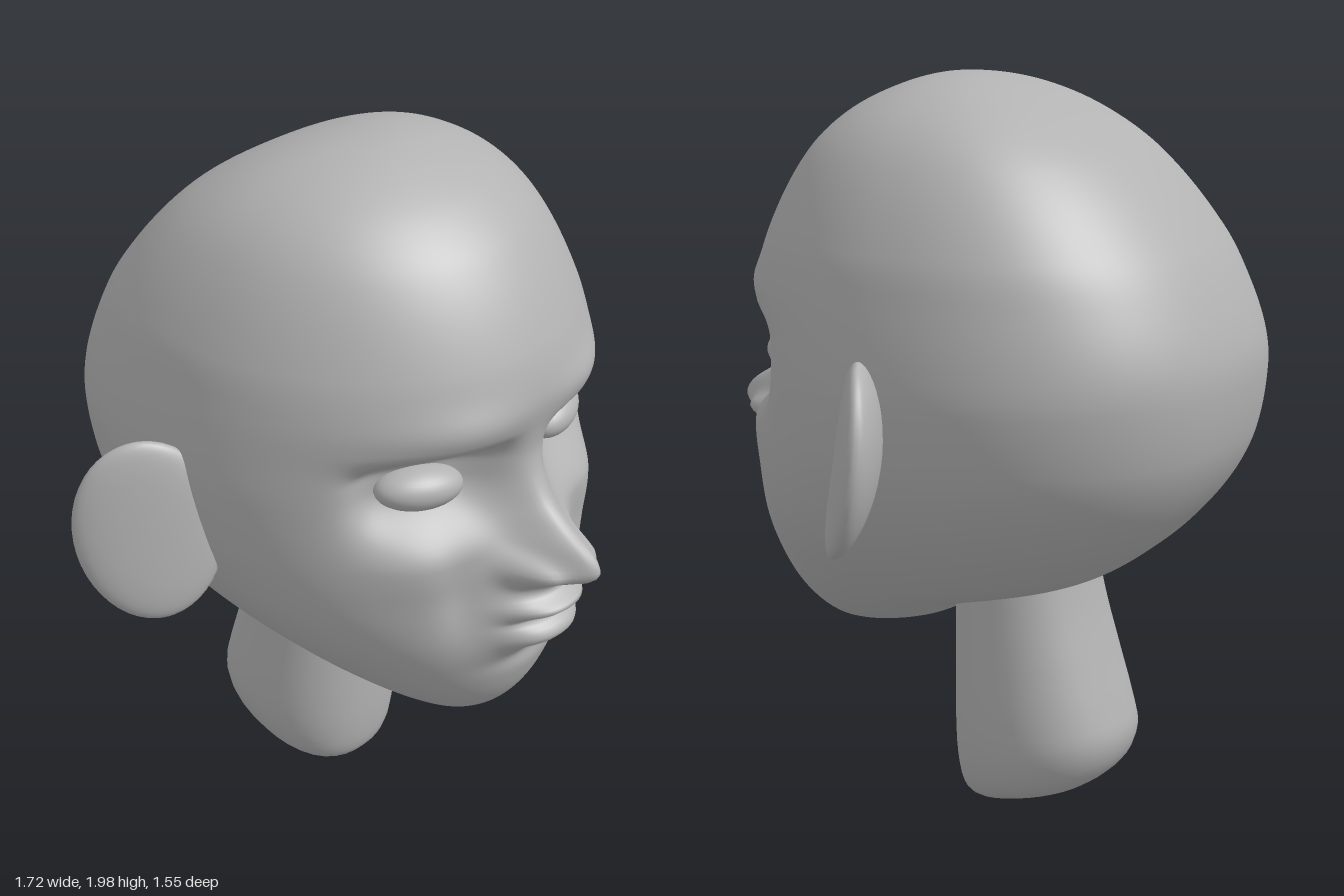
import * as THREE from 'three';

const skin = new THREE.MeshStandardMaterial({ color: 0xb2b2b2 });
skin.name = 'grey clay';

const bell = (v, centre, size) => Math.exp(-(((v - centre) / size) ** 2));
const step = (v, a, b) => THREE.MathUtils.smoothstep(v, a, b);

// Smooth interpolation of table rows [key, ...values], keys ascending
function sample(table, key) {
  const last = table.length - 1;
  let i = 0;
  while (i < last - 1 && key > table[i + 1][0]) i++;
  const a = table[i], b = table[i + 1], h = b[0] - a[0];
  const t = THREE.MathUtils.clamp((key - a[0]) / h, 0, 1);
  const before = table[Math.max(i - 1, 0)], after = table[Math.min(i + 2, last)];
  return a.slice(1).map((_, n) => {
    const k = n + 1;
    const m0 = (b[k] - before[k]) / (b[0] - before[0]) * h;
    const m1 = (after[k] - a[k]) / (after[0] - a[0]) * h;
    const t2 = t * t, t3 = t2 * t;
    return (2 * t3 - 3 * t2 + 1) * a[k] + (t3 - 2 * t2 + t) * m0
      + (3 * t2 - 2 * t3) * b[k] + (t3 - t2) * m1;
  });
}

// Closed rings stacked from top to bottom; point(v, angle) gives [x, y, z]
function loft(rows, cols, point) {
  const positions = [], index = [];
  for (let r = 0; r <= rows; r++) {
    for (let c = 0; c < cols; c++) {
      positions.push(...point(r / rows, (c / cols) * Math.PI * 2));
      if (r === rows) continue;
      const a = r * cols + c, b = r * cols + (c + 1) % cols;
      if (r < rows - 1) index.push(a, a + cols, b + cols);
      if (r > 0) index.push(a, b + cols, b);
    }
  }
  const geometry = new THREE.BufferGeometry();
  geometry.setAttribute('position', new THREE.Float32BufferAttribute(positions, 3));
  geometry.setIndex(index);
  geometry.computeVertexNormals();
  return geometry;
}

// Skull sections: height, half width, front z, back z, z of widest point
const MID = 1.225, HALF = 0.775;
const skull = [
  [2.0, 0, 0.03, 0.03, 0.03],
  [1.97, 0.21, 0.18, -0.15, 0.0],
  [1.9, 0.36, 0.32, -0.31, -0.02],
  [1.8, 0.46, 0.43, -0.46, -0.04],
  [1.6, 0.565, 0.545, -0.64, -0.08],
  [1.48, 0.597, 0.575, -0.71, -0.09],
  [1.35, 0.62, 0.56, -0.76, -0.1],
  [1.25, 0.627, 0.555, -0.77, -0.1],
  [1.1, 0.612, 0.57, -0.75, -0.08],
  [1.0, 0.585, 0.585, -0.71, -0.05],
  [0.9, 0.54, 0.595, -0.64, 0.0],
  [0.8, 0.475, 0.595, -0.54, 0.06],
  [0.7, 0.39, 0.58, -0.39, 0.13],
  [0.6, 0.285, 0.548, -0.08, 0.22],
  [0.52, 0.18, 0.495, 0.08, 0.3],
  [0.47, 0.09, 0.43, 0.24, 0.35],
  [0.45, 0, 0.38, 0.38, 0.38],
].map(([y, ...rest]) => [Math.acos(THREE.MathUtils.clamp((y - MID) / HALF, -1, 1)), ...rest]);

// Nose ridge: height, projection, half width
const nose = [
  [0.94, 0.0, 0.1], [0.97, 0.04, 0.09], [0.995, 0.1, 0.085], [1.02, 0.165, 0.08],
  [1.05, 0.195, 0.075], [1.09, 0.18, 0.07], [1.14, 0.11, 0.065],
  [1.2, 0.05, 0.058], [1.3, 0.005, 0.05], [1.38, 0, 0.05],
];

// Forward push of the face surface at a given spot
function faceRelief(x, y) {
  const ax = Math.abs(x);
  let d = 0;
  // eye sockets under a sharp brow edge
  const socket = Math.exp(-(((ax - 0.26) / 0.17) ** 4));
  d -= 0.105 * socket * step(y, 1.08, 1.27) * (1 - step(y, 1.32, 1.41));
  d += 0.025 * bell(ax, 0.24, 0.16) * bell(y, 1.45, 0.06);
  // nose and nostril wings
  if (y > 0.94 && y < 1.38) {
    const [out, width] = sample(nose, y);
    d += out * bell(x, 0, width);
  }
  d += 0.075 * bell(ax, 0.095, 0.042) * bell(y, 1.035, 0.038);
  // cheeks and the folds beside the mouth
  d += 0.02 * bell(ax, 0.33, 0.1) * bell(y, 1.08, 0.1);
  d -= 0.025 * bell(ax, 0.22, 0.06) * bell(y, 0.95, 0.12);
  // muzzle, lips, mouth line and the hollow under the lip
  d += 0.055 * bell(x, 0, 0.17) * bell(y, 0.88, 0.12);
  const mouth = Math.exp(-((x / 0.13) ** 4));
  d += 0.055 * mouth * bell(y, 0.915, 0.027);
  d += 0.04 * mouth * bell(y, 0.82, 0.035);
  d -= 0.02 * mouth * bell(y, 0.87, 0.013);
  d -= 0.02 * bell(x, 0, 0.12) * bell(y, 0.73, 0.035);
  return d;
}

function headPoint(v, u) {
  const theta = v * Math.PI;
  const a = u - 0.45 * Math.sin(u); // finer columns on the face
  const [w, front, back, mid] = sample(skull, theta);
  const s = Math.sin(a), c = Math.cos(a);
  const p = c > 0 ? 2 : 2.35;
  const r = (Math.abs(s) ** p + Math.abs(c) ** p) ** (-1 / p);
  const x = w * r * s, y = MID + HALF * Math.cos(theta);
  let z = mid + r * c * (c > 0 ? front - mid : mid - back);
  if (c > 0) z += faceRelief(x, y) * step(c, 0.1, 0.5);
  return [x, y, z];
}

// Neck sections: position, height, z centre, z radius, half width, tilt
const neck = [
  [0, 0.9, -0.15, 0.16, 0.18, 0],
  [0.25, 0.62, -0.18, 0.19, 0.205, 0],
  [0.4, 0.45, -0.205, 0.213, 0.222, 0.04],
  [0.53, 0.31, -0.225, 0.232, 0.234, 0.12],
  [0.64, 0.21, -0.237, 0.24, 0.232, 0.2],
  [0.75, 0.125, -0.232, 0.222, 0.205, 0.25],
  [0.85, 0.075, -0.215, 0.175, 0.16, 0.25],
  [0.93, 0.05, -0.2, 0.1, 0.09, 0.25],
  [1, 0.043, -0.19, 0, 0, 0.25],
];

function neckPoint(v, a) {
  const [y, mid, depth, w, tilt] = sample(neck, v);
  const s = Math.sin(a), c = Math.cos(a);
  const r = (Math.abs(s) ** 2.3 + Math.abs(c) ** 2.3) ** (-1 / 2.3);
  const dz = depth * r * c;
  return [w * r * s, y - tilt * dz, mid + dz];
}

export function createModel() {
  const model = new THREE.Group();
  model.name = 'headModel';
  const add = (name, geometry) => {
    const mesh = new THREE.Mesh(geometry, skin);
    mesh.name = name;
    model.add(mesh);
    return mesh;
  };

  add('head', loft(210, 180, headPoint));
  add('neck', loft(28, 36, neckPoint));

  // Ear disc, slightly cupped toward the front
  const earShape = new THREE.SphereGeometry(1, 32, 24);
  earShape.scale(0.19, 0.245, 0.058);
  const pos = earShape.attributes.position;
  for (let i = 0; i < pos.count; i++) {
    const cup = (pos.getX(i) / 0.19) ** 2 * 0.3 + (pos.getY(i) / 0.245) ** 2;
    pos.setZ(i, pos.getZ(i) + 0.03 * (cup - 0.4));
  }
  earShape.computeVertexNormals();
  const eyeShape = new THREE.SphereGeometry(1, 32, 20);
  eyeShape.scale(0.118, 0.057, 0.072);

  for (const [side, name] of [[1, 'left'], [-1, 'right']]) {
    const ear = add(name + 'Ear', earShape);
    ear.position.set(side * 0.7, 1.132, -0.1);
    ear.rotation.set(-0.17, side * 0.6, 0);
    const eye = add(name + 'Eye', eyeShape);
    eye.position.set(side * 0.258, 1.27, 0.405);
    eye.rotation.set(0, side * 0.42, side * 0.08);
  }
  return model;
}
